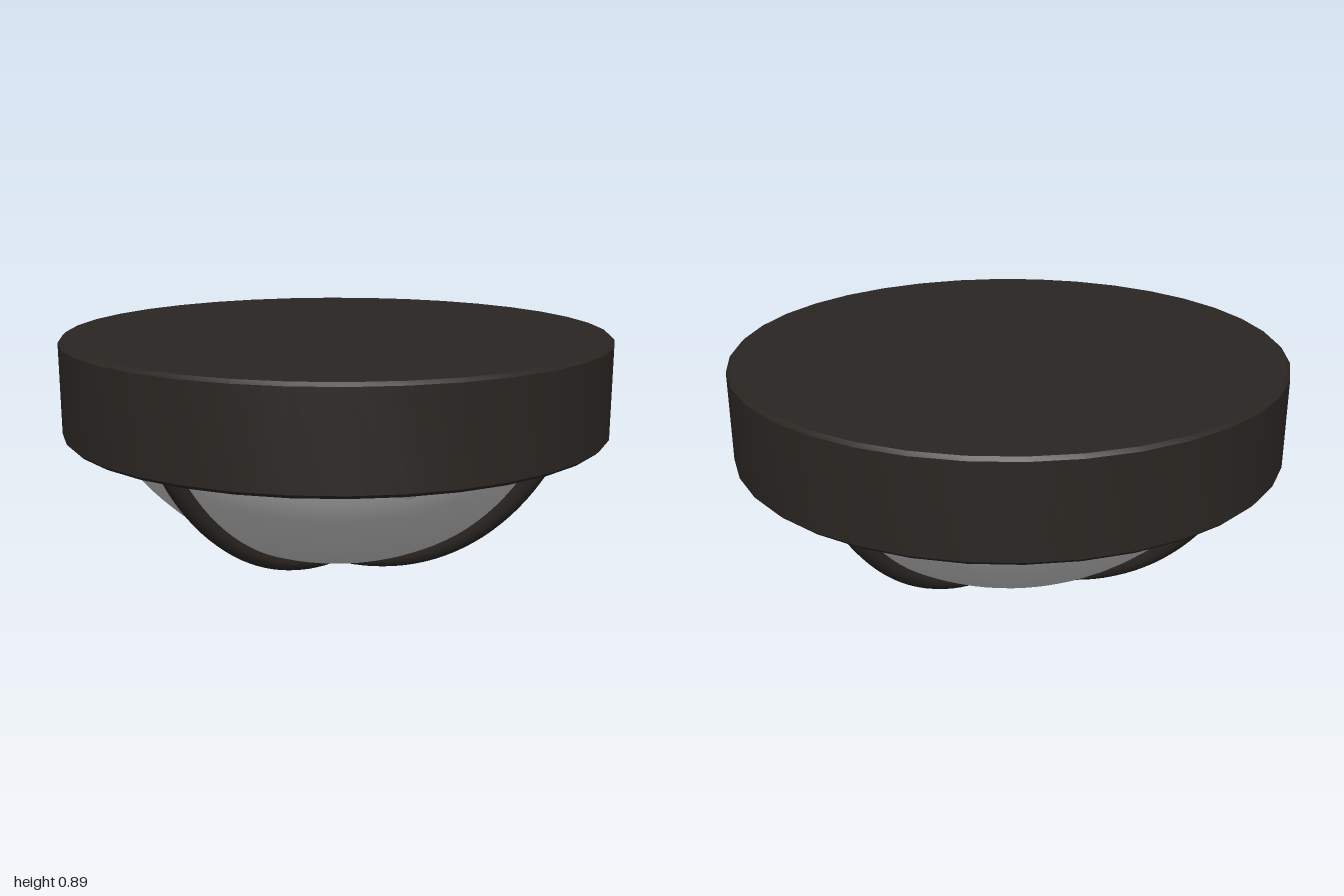
import * as THREE from 'three';
import { toCreasedNormals } from 'three/addons/utils/BufferGeometryUtils.js';

const dark = new THREE.MeshStandardMaterial({ color: 0x2a2622 });
const grey = new THREE.MeshStandardMaterial({ color: 0xcccccc });

const RIM_Y = 0.54; // underside of the housing
const TOP_Y = 0.89;

export function createModel() {
  const group = new THREE.Group();
  const add = (name, geometry, material) => {
    const mesh = new THREE.Mesh(geometry, material);
    mesh.name = name;
    group.add(mesh);
    return mesh;
  };
  const lathe = (points, sides) =>
    new THREE.LatheGeometry(points.map(([r, y]) => new THREE.Vector2(r, y)), sides);

  // Round housing with small chamfers
  const b = 0.012;
  const housing = lathe([
    [0, RIM_Y], [1 - b, RIM_Y], [1, RIM_Y + b],
    [1, TOP_Y - b], [1 - b, TOP_Y], [0, TOP_Y],
  ], 36);
  add('housing', toCreasedNormals(housing, 0.5), dark);

  // Glass dome: spherical cap with a short upright lip
  const R = 0.96, centreY = 1.005, sweep = 1.04;
  const profile = [];
  for (let i = 0; i <= 20; i++) {
    const a = (sweep * i) / 20;
    profile.push([R * Math.sin(a), centreY - R * Math.cos(a)]);
  }
  profile.push([0.842, RIM_Y + 0.005]);
  add('glassDome', lathe(profile, 64), grey);

  // Two crossed guard bars
  const barR = 1.005, tube = 0.032, half = 1.077;
  ['guardBarAcross', 'guardBarFrontToBack'].forEach((name, i) => {
    const bar = new THREE.TorusGeometry(barR, tube, 12, 48, half * 2);
    bar.rotateZ(-Math.PI / 2 - half);
    bar.translate(0, barR + tube, 0);
    bar.rotateY((i * Math.PI) / 2);
    add(name, bar, dark);
  });

  // Four domed screw heads on the underside
  for (const x of [-0.72, 0.72]) {
    for (const z of [-0.573, 0.573]) {
      const screw = add('screw', new THREE.SphereGeometry(0.037, 16, 12), grey);
      screw.scale.y = 0.7;
      screw.position.set(x, RIM_Y, z);
    }
  }

  return group;
}
